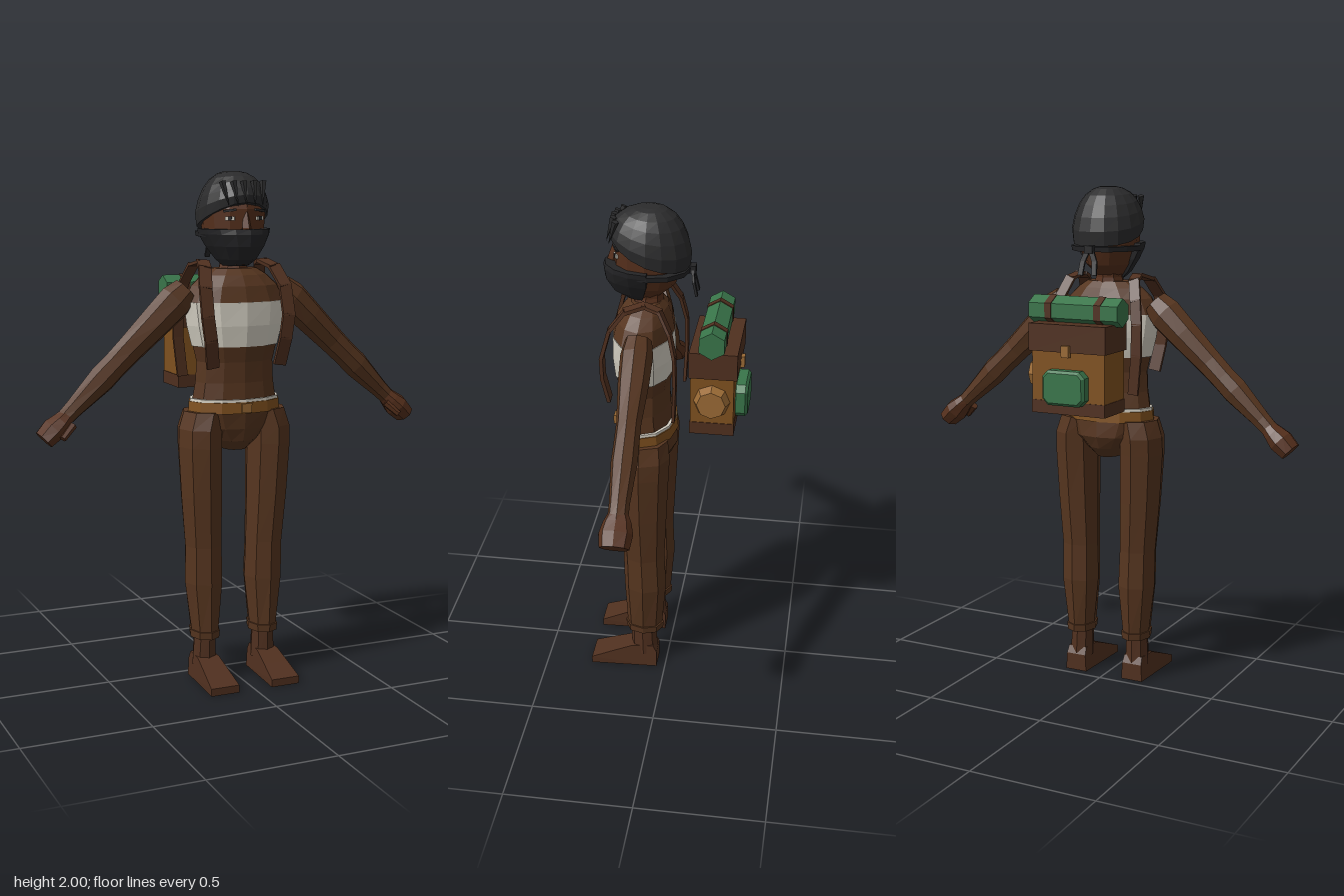
import * as THREE from 'three';

const mat = (name, color) => Object.assign(new THREE.MeshStandardMaterial({ color }), { name });

// One closed cross-section, counter-clockwise seen from above
function ring(x, y, z, rx, rz, n = 8, phase = 0) {
  return Array.from({ length: n }, (_, i) => {
    const a = (i / n) * Math.PI * 2 + phase;
    return [x + rx * Math.sin(a), y, z + rz * Math.cos(a)];
  });
}

// Closed skin over cross-sections listed from bottom to top
function loft(rings) {
  const n = rings[0].length, pos = rings.flat(2), idx = [];
  for (let i = 0; i < rings.length - 1; i++)
    for (let j = 0; j < n; j++) {
      const a = i * n + j, b = i * n + (j + 1) % n;
      idx.push(a, b, b + n, a, b + n, a + n);
    }
  [rings[0], rings[rings.length - 1]].forEach((r, end) => {
    const c = pos.length / 3, base = end ? (rings.length - 1) * n : 0;
    for (let k = 0; k < 3; k++) pos.push(r.reduce((s, p) => s + p[k], 0) / n);
    for (let j = 0; j < n; j++) {
      const a = base + j, b = base + (j + 1) % n;
      idx.push(c, end ? a : b, end ? b : a);
    }
  });
  const g = new THREE.BufferGeometry();
  g.setAttribute('position', new THREE.Float32BufferAttribute(pos, 3));
  g.setIndex(idx);
  return g;
}
const body = (rows, n = 12) => loft(rows.map(r => ring(...r, n)));

export function createModel() {
  const root = new THREE.Group();
  root.name = 'traveller';
  const skin = mat('skin', 0x56301c), cloth = mat('brown cloth', 0x56351f), leather = mat('dark leather', 0x50301f);
  const tan = mat('tan leather', 0x80511f), buckleMat = mat('buckle', 0x9a6a35);
  const white = mat('off white', 0xd6d1c4), green = mat('green cloth', 0x39754a);
  const black = mat('black hair', 0x2b2b2c), dark = mat('mask cloth', 0x242426);

  // Every face is flat: split vertices before computing normals
  function add(name, geo, material, parent = root) {
    const g = geo.index ? geo.toNonIndexed() : geo;
    g.computeVertexNormals();
    const m = new THREE.Mesh(g, material);
    m.name = name;
    parent.add(m);
    return m;
  }
  function box(name, material, w, h, d, x, y, z, parent = root) {
    const m = add(name, new THREE.BoxGeometry(w, h, d), material, parent);
    m.position.set(x, y, z);
    return m;
  }
  // Flat band running through points, with its width kept near the x axis
  function band(name, points, w, t, material) {
    const g = new THREE.Group();
    g.name = name;
    for (let i = 0; i < points.length - 1; i++) {
      const a = new THREE.Vector3(...points[i]), b = new THREE.Vector3(...points[i + 1]);
      const dir = b.clone().sub(a), len = dir.length();
      dir.normalize();
      const x = new THREE.Vector3(1, 0, 0).addScaledVector(dir, -dir.x).normalize();
      const y = dir.clone().cross(x);
      const m = box(name + 'Piece', material, w, t, len + t * 0.6, 0, 0, 0, g);
      m.quaternion.setFromRotationMatrix(new THREE.Matrix4().makeBasis(x, y, dir));
      m.position.copy(a.add(b).multiplyScalar(0.5));
    }
    root.add(g);
  }

  // Torso: waist, light chest band, shoulders
  add('waist', body([[0, 1.08, .093, .185, .115], [0, 1.2, .098, .165, .1], [0, 1.28, .1, .16, .1], [0, 1.34, .1, .175, .11]]), cloth);
  add('chestBand', body([[0, 1.34, .1, .18, .114], [0, 1.42, .1, .2, .122], [0, 1.51, .1, .212, .12]]), white);
  add('upperChest', body([[0, 1.51, .1, .208, .118], [0, 1.57, .097, .18, .105], [0, 1.61, .092, .135, .085], [0, 1.635, .088, .095, .06]]), cloth);
  add('shirtHem', body([[0, 1.12, .093, .187, .118], [0, 1.137, .093, .185, .117]]), white);
  add('belt', body([[0, 1.083, .093, .193, .125], [0, 1.126, .093, .19, .122]]), tan);
  box('beltBuckle', buckleMat, .04, .036, .012, 0, 1.105, .218);
  add('pelvis', body([[0, .93, .09, .05, .06], [0, .97, .09, .09, .095], [0, 1.02, .085, .15, .115], [0, 1.09, .092, .188, .118]]), cloth);
  add('neck', body([[0, 1.6, .085, .068, .066], [0, 1.65, .085, .055, .058], [0, 1.74, .08, .055, .06]], 8), skin);

  // Head and face
  add('head', body([[0, 1.65, .11, .05, .07], [0, 1.7, .09, .088, .11], [0, 1.78, .08, .118, .13],
    [0, 1.86, .078, .125, .135], [0, 1.94, .075, .105, .115]]), skin);
  add('nose', body([[0, 1.77, .21, .018, .026], [0, 1.79, .212, .018, .024], [0, 1.85, .203, .01, .012]], 4), skin);
  for (const s of [-1, 1]) {
    const eye = new THREE.Group();
    eye.name = 'eye';
    eye.position.set(s * .061, 1.825, .194);
    eye.rotation.y = s * .45;
    box('eyeWhite', white, .036, .014, .008, 0, 0, 0, eye);
    box('iris', black, .014, .015, .008, 0, 0, .002, eye);
    box('brow', black, .05, .009, .009, 0, .03, .001, eye).rotation.z = -s * .12;
    root.add(eye);
  }

  // Hair: dome whose lower edge climbs toward the brow
  const hair = [0, .25, .5, .75, 1, 1.25, 1.42].map(t => ring(0, 0, .073, .14, .155, 16).map(([x, , z]) => {
    const c = (z - .073) / .155, edge = 1.81 + .055 * c + .02 * c * c;
    const r = Math.pow(Math.cos(t), .8) * (t ? 1.02 : .96);
    return [x * r, edge + (2 - edge) * Math.sin(t) / Math.sin(1.42), .073 + (z - .073) * r];
  }));
  add('hair', loft(hair), black);
  for (const x of [-.08, -.045, -.01, .03, .07]) {
    const lock = add('hairLock', new THREE.ConeGeometry(.014, .1, 5), black);
    lock.position.set(x, 1.915, .073 + .15 * Math.sqrt(1 - (x / .15) ** 2));
    lock.rotation.set(Math.PI - .3, 0, x * 2);
  }

  // Face cloth: front arc with a straight back hidden in the head
  const maskRow = (y, rx, rz, z) => Array.from({ length: 9 }, (_, i) => {
    const a = (i / 8 - .5) * Math.PI;
    return [rx * Math.sin(a), y, z + rz * Math.cos(a)];
  });
  add('faceCloth', loft([maskRow(1.645, .05, .07, .1), maskRow(1.67, .078, .125, .09), maskRow(1.72, .113, .172, .075),
    maskRow(1.765, .138, .183, .07), maskRow(1.785, .143, .177, .07)]), dark);
  add('clothTie', body([[0, 1.755, .07, .137, .15], [0, 1.775, .07, .14, .153]]), dark);
  box('tieKnot', dark, .035, .03, .025, 0, 1.765, -.085);
  for (const s of [-1, 1])
    band('tieTail', [[s * .006, 1.765, -.085], [s * .025, 1.72, -.092], [s * .03, 1.67, -.103]], .02, .009, dark);

  for (const s of [-1, 1]) {
    // Arm, built hanging down and swung outward
    const arm = new THREE.Group();
    arm.name = s > 0 ? 'leftArm' : 'rightArm';
    arm.position.set(s * .213, 1.54, .09);
    arm.rotation.z = s * .815;
    const limb = rows => body(rows.map(([t, rx, rz]) => [0, -t, 0, rx, rz]), 8);
    add('sleeve', limb([[.66, .033, .038], [.6, .037, .038], [.45, .054, .049], [.38, .052, .047], [.3, .055, .046],
      [.15, .064, .058], [.04, .07, .061], [-.02, .055, .05]]), cloth, arm);
    add('hand', limb([[.765, .04, .055], [.71, .048, .062], [.67, .038, .052], [.63, .03, .034]]), skin, arm);
    const thumb = add('thumb', new THREE.CylinderGeometry(.016, .013, .07, 6), skin, arm);
    thumb.position.set(-s * .032, -.685, .045);
    thumb.rotation.x = -.35;
    root.add(arm);

    // Leg, cuff, ankle and wedge shoe
    const leg = new THREE.Group();
    leg.name = s > 0 ? 'leftLeg' : 'rightLeg';
    root.add(leg);
    add('trouserLeg', body([[s * .126, .19, .09, .053, .072], [s * .128, .4, .086, .078, .086], [s * .13, .55, .09, .076, .084],
      [s * .139, .75, .093, .083, .097], [s * .145, .95, .094, .088, .108], [s * .144, 1.02, .092, .087, .11],
      [s * .125, 1.088, .092, .085, .1]], 8), cloth, leg);
    add('cuff', body([[s * .126, .175, .09, .058, .077], [s * .126, .205, .09, .061, .08]], 8), cloth, leg);
    add('ankle', body([[s * .128, .06, .09, .05, .055], [s * .126, .19, .095, .044, .052]], 8), leather, leg);
    const side = new THREE.Shape([[.035, 0], [.31, 0], [.31, .03], [.22, .066], [.14, .097], [.05, .1], [.035, .07]]
      .map(p => new THREE.Vector2(...p)));
    const shoe = new THREE.ExtrudeGeometry(side, { depth: 1, bevelEnabled: false }).rotateY(-Math.PI / 2).translate(.5, 0, 0);
    const p = shoe.attributes.position;
    for (let i = 0; i < p.count; i++) p.setX(i, p.getX(i) * (.09 + .09 * p.getZ(i) - .2 * Math.max(0, p.getY(i) - .03)));
    shoe.translate(s * .129, 0, 0);
    add('shoe', shoe, leather, leg);

    // Shoulder straps, front and back
    band('frontStrap', [[s * .125, 1.66, .08], [s * .145, 1.64, .15], [s * .165, 1.57, .205], [s * .168, 1.46, .235],
      [s * .155, 1.37, .235], [s * .14, 1.27, .215]], .05, .014, leather);
    band('backStrap', [[s * .125, 1.66, .08], [s * .14, 1.645, .02], [s * .165, 1.57, -.02], [s * .18, 1.48, -.04],
      [s * .18, 1.36, -.042], [s * .165, 1.21, -.036]], .042, .012, leather);
  }

  // Backpack
  const pack = new THREE.Group();
  pack.name = 'backpack';
  root.add(pack);
  box('packBody', tan, .31, .2, .165, 0, 1.295, -.18, pack);
  box('packBase', leather, .315, .05, .17, 0, 1.175, -.18, pack);
  box('packLid', leather, .326, .105, .183, 0, 1.4425, -.1835, pack);
  box('lidBuckle', buckleMat, .032, .045, .018, 0, 1.395, -.28, pack);

  // Chamfered back pocket
  const outline = (w, h, c) => new THREE.Shape([[-w + c, -h], [w - c, -h], [w, -h + c], [w, h - c], [w - c, h], [-w + c, h], [-w, h - c], [-w, -h + c]]
    .map(q => new THREE.Vector2(...q)));
  add('backPocket', new THREE.ExtrudeGeometry(outline(.08, .057, .018),
    { depth: .035, bevelSize: .01, bevelThickness: .01, bevelSegments: 1 }), green, pack).position.set(0, 1.257, -.3);

  // Round side pouch
  const pouch = add('sidePouch', new THREE.CylinderGeometry(.055, .07, .035, 8), buckleMat, pack);
  pouch.rotation.z = -Math.PI / 2;
  pouch.position.set(.172, 1.292, -.18);

  // Bedroll with two bands
  const roll = (name, r, len, x, m) => {
    const c = add(name, new THREE.CylinderGeometry(r, r, len, 6), m, pack);
    c.rotation.set(0, Math.PI / 2, Math.PI / 2, 'ZYX');
    c.position.set(x, 1.54, -.18);
  };
  roll('bedroll', .055, .38, 0, green);
  for (const s of [-1, 1]) roll('bedrollBand', .058, .028, s * .105, leather);
  return root;
}
